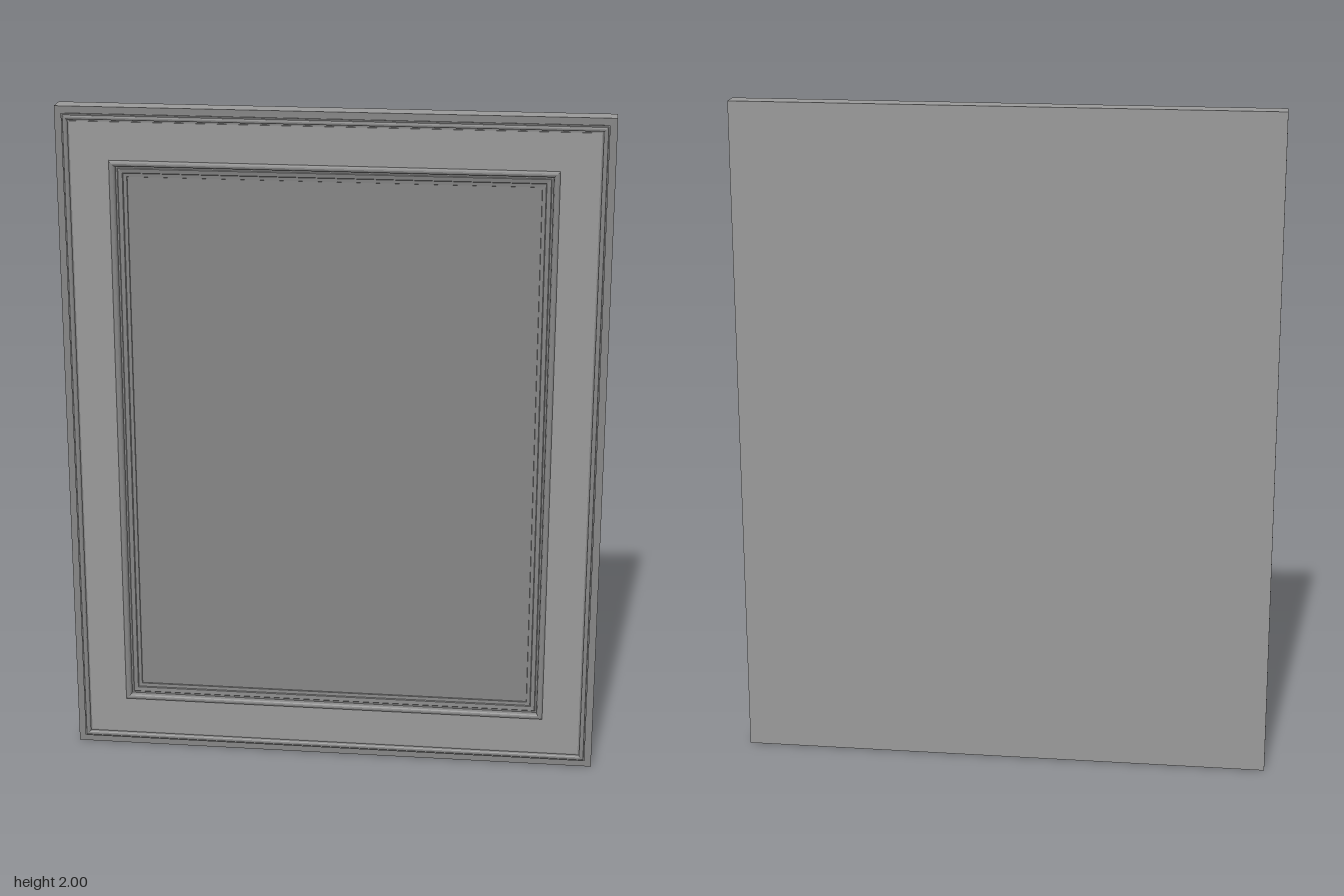
import * as THREE from 'three';

const HALF_W = 0.795, HEIGHT = 2, PANEL_INSET = 0.203;
const BACK = -0.037, EDGE = 0.026, TOP = 0.036, FACE = 0.028, PANEL = 0.014;

// Corners of the rectangle lying `inset` inside the outline, at depth z
function corners([inset, z]) {
  const x = HALF_W - inset, y0 = inset, y1 = HEIGHT - inset;
  return [[-x, y0, z], [x, y0, z], [x, y1, z], [-x, y1, z]];
}

// Mitred rectangular frame swept from a profile of [inset, z] points
function mitredFrame(profile) {
  const pos = [];
  for (let i = 0; i < profile.length - 1; i++) {
    const a = corners(profile[i]), b = corners(profile[i + 1]);
    for (let k = 0; k < 4; k++) {
      const n = (k + 1) % 4;
      pos.push(...a[k], ...a[n], ...b[n], ...a[k], ...b[n], ...b[k]);
    }
  }
  const geo = new THREE.BufferGeometry();
  geo.setAttribute('position', new THREE.Float32BufferAttribute(pos, 3));
  geo.computeVertexNormals();
  return geo;
}

// Rounded bead between two insets, rising from z to the top of the moulding
function bead(from, to, z, steps = 6) {
  return Array.from({ length: steps + 1 }, (_, i) => {
    const t = (Math.PI * i) / steps;
    return [from + ((to - from) * (1 - Math.cos(t))) / 2, z + (TOP - z) * Math.sin(t)];
  });
}

export function createModel() {
  const group = new THREE.Group();
  const frameGrey = new THREE.MeshStandardMaterial({ color: 0x999999, flatShading: true });
  const darkGrey = new THREE.MeshStandardMaterial({ color: 0x858585, flatShading: true });
  const add = (name, geo, material) => {
    const mesh = new THREE.Mesh(geo, material);
    mesh.name = name;
    group.add(mesh);
    return mesh;
  };

  // Slab sides and narrow front border
  add('slabEdge', mitredFrame([[0, BACK], [0, EDGE]]), frameGrey);
  add('frontBorder', mitredFrame([[0, EDGE], [0.02, EDGE]]), darkGrey);

  // Flat back
  const back = add('back', new THREE.PlaneGeometry(2 * HALF_W, HEIGHT), frameGrey);
  back.rotation.y = Math.PI;
  back.position.set(0, HEIGHT / 2, BACK);

  // Outer moulding: stepped lip, bead and small groove
  add('outerMoulding', mitredFrame([
    [0.02, EDGE], [0.02, 0.031], [0.024, 0.031],
    ...bead(0.024, 0.037, 0.031),
    [0.037, 0.025], [0.042, 0.025], [0.042, FACE],
  ]), darkGrey);

  // Flat stiles and rails
  add('frameFace', mitredFrame([[0.042, FACE], [0.153, FACE]]), frameGrey);

  // Inner moulding: bead, groove and a shallow ledge down to the panel
  add('innerMoulding', mitredFrame([
    [0.153, FACE],
    ...bead(0.153, 0.17, FACE),
    [0.171, 0.021], [0.176, 0.021], [0.178, 0.023],
    [0.19, 0.021], [0.192, 0.018], [0.202, 0.017], [PANEL_INSET, PANEL],
  ]), darkGrey);

  // Recessed centre panel
  const panel = add('panel',
    new THREE.PlaneGeometry(2 * (HALF_W - PANEL_INSET), HEIGHT - 2 * PANEL_INSET), darkGrey);
  panel.position.set(0, HEIGHT / 2, PANEL);

  return group;
}
